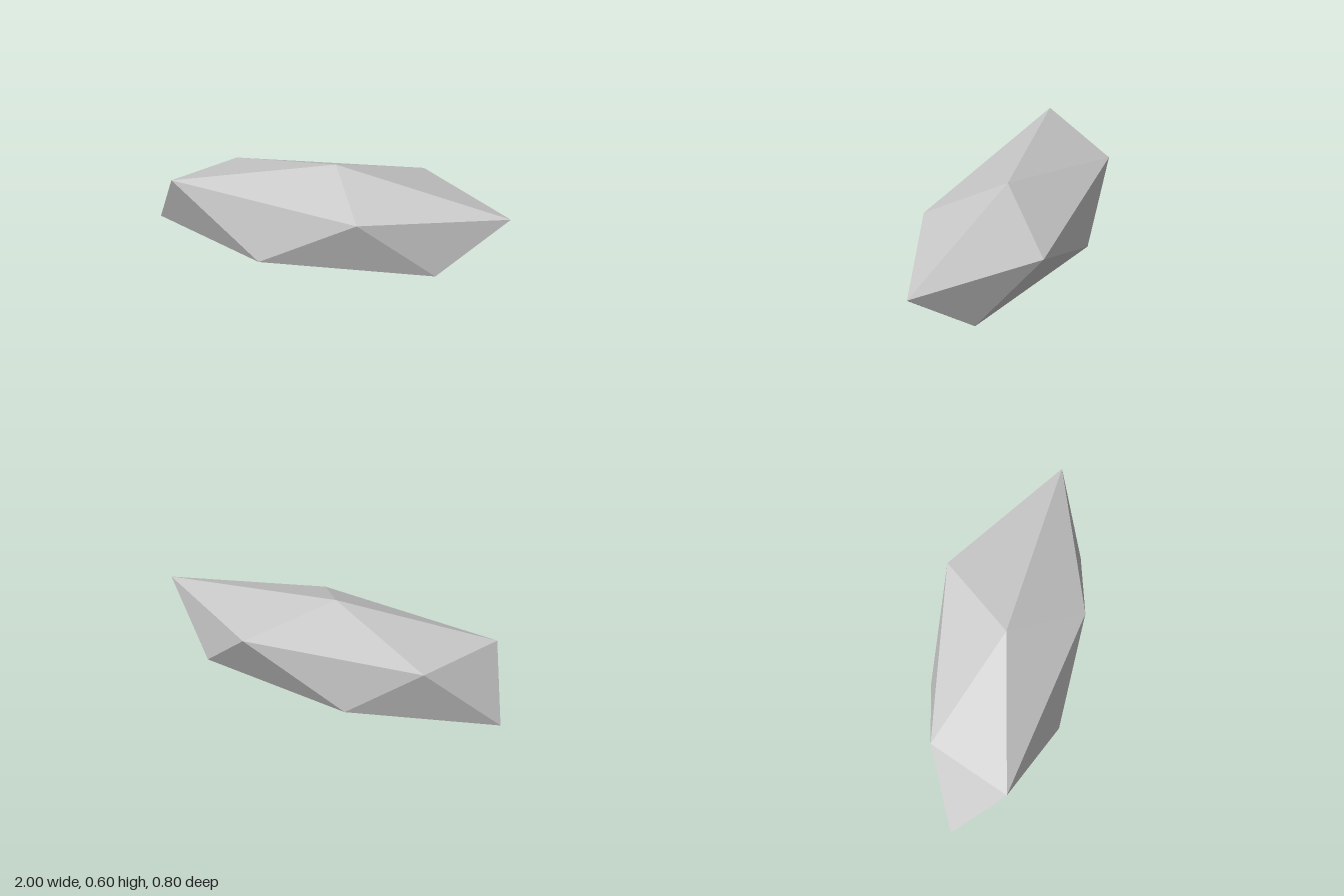
import * as THREE from 'three';

// Faceted rock: two apexes joined by two staggered five-point rings.
export function createModel() {
  const group = new THREE.Group();
  group.name = 'rock';

  const stone = new THREE.MeshStandardMaterial({ color: 0xc8c8c8, flatShading: true });
  stone.name = 'light stone grey';

  const top = [0, 0.595, 0.024];
  const bottom = [0, 0, 0.024];
  // Rings run from +x towards +z
  const upper = [
    [1, 0.456, 0.024], [0.27, 0.432, 0.375], [-0.83, 0.462, 0.28],
    [-0.66, 0.43, -0.19], [0.32, 0.46, -0.397],
  ];
  const lower = [
    [0.657, 0.154, 0.231], [-0.28, 0.139, 0.398], [-1, 0.123, 0.024],
    [-0.25, 0.154, -0.313], [0.657, 0.154, -0.183],
  ];

  // Cap, two zigzag side faces and base for each fifth
  const corners = [];
  for (let i = 0; i < 5; i++) {
    const j = (i + 1) % 5;
    corners.push(
      top, upper[j], upper[i],
      upper[i], upper[j], lower[i],
      upper[j], lower[j], lower[i],
      bottom, lower[i], lower[j],
    );
  }
  const geometry = new THREE.BufferGeometry();
  geometry.setAttribute('position', new THREE.Float32BufferAttribute(corners.flat(), 3));
  geometry.computeVertexNormals();

  const body = new THREE.Mesh(geometry, stone);
  body.name = 'rockBody';
  group.add(body);
  return group;
}
